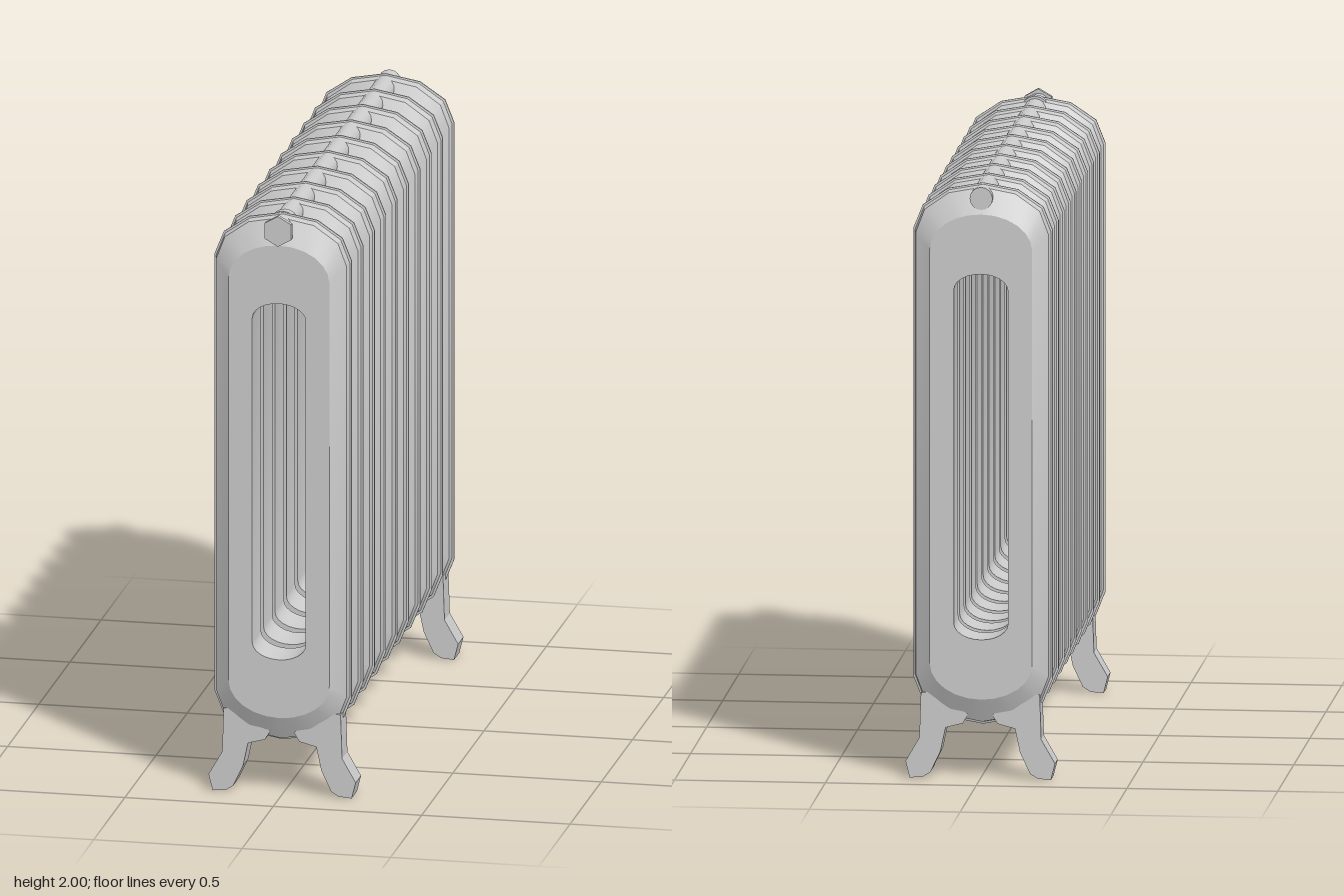
import * as THREE from 'three';
import { toCreasedNormals } from 'three/addons/utils/BufferGeometryUtils.js';

const CX = -0.005; // the columns and pipe sit slightly off the middle
const STEPS = 12; // segments per rounded end

// Closed upright loop with elliptical ends; coarse loops have half the corners.
function loop({ w, top, bottom, ry, z, coarse }) {
  const at = (i, end) => {
    const t = (i / STEPS) * Math.PI;
    const x = Math.cos(t) * w, y = Math.sin(t) * ry;
    return end ? [-x, bottom + ry - y] : [x, top - ry + y];
  };
  const pts = [];
  for (const end of [0, 1]) {
    for (let i = 0; i <= STEPS; i++) {
      let p = at(i, end);
      if (coarse && i % 2) {
        const a = at(i - 1, end), b = at(i + 1, end);
        p = [(a[0] + b[0]) / 2, (a[1] + b[1]) / 2];
      }
      pts.push([p[0], p[1], z]);
    }
  }
  return pts;
}

// One column: loops run through the slot, over the front face, round the rim and back.
function columnGeometry() {
  const slot = { w: 0.09, top: 1.695, bottom: 0.47, ry: 0.055 };
  const face = { w: 0.17, top: 1.895, bottom: 0.27, ry: 0.12 };
  const rim = { w: 0.22, top: 1.98, bottom: 0.19, ry: 0.155, coarse: true };
  const crest = { w: 0.225, top: 1.985, bottom: 0.185, ry: 0.155, coarse: true };
  const fin = { w: 0.231, top: 1.99, bottom: 0.178, ry: 0.155, coarse: true };
  const half = [[slot, 0.07], [face, 0.07], [rim, 0.032], [crest, 0.005], [fin, 0.003]];
  const profile = [
    ...half.map(([s, z]) => ({ ...s, z })),
    ...half.slice().reverse().map(([s, z]) => ({ ...s, z: -z })),
  ];
  const rings = profile.map(loop);
  const n = rings[0].length;
  const index = [];
  for (let i = 0; i < rings.length; i++) {
    const k = (i + 1) % rings.length;
    for (let j = 0; j < n; j++) {
      const m = (j + 1) % n;
      const a = i * n + j, b = k * n + j, c = k * n + m, d = i * n + m;
      index.push(a, b, c, a, c, d);
    }
  }
  const g = new THREE.BufferGeometry();
  g.setAttribute('position', new THREE.Float32BufferAttribute(rings.flat(2), 3));
  g.setIndex(index);
  return toCreasedNormals(g, 0.4);
}

// Splayed foot outline, extruded along z; side mirrors it.
function footGeometry(side) {
  const outline = [
    [0.04, 0.215], [0.058, 0.185], [0.115, 0.17], [0.132, 0.09], [0.165, 0.02], [0.19, 0.004],
    [0.234, 0], [0.248, 0.055], [0.202, 0.135], [0.197, 0.285], [0.15, 0.29],
  ];
  const shape = new THREE.Shape(outline.map(([x, y]) => new THREE.Vector2(x * side, y)));
  return new THREE.ExtrudeGeometry(shape, { depth: 0.086, bevelEnabled: false }).translate(0, 0, -0.043);
}

export function createModel() {
  const model = new THREE.Group();
  model.name = 'radiator';
  const material = new THREE.MeshStandardMaterial({ color: 0xcccccc });
  const add = (name, geometry, x, y, z) => {
    const mesh = new THREE.Mesh(geometry, material);
    mesh.name = name;
    mesh.position.set(x, y, z);
    model.add(mesh);
    return mesh;
  };

  // Row of ten columns
  const count = 10, front = 0.815, back = -0.828;
  const column = columnGeometry();
  for (let i = 0; i < count; i++) {
    add('column' + (i + 1), column, CX, 0, front + ((back - front) * i) / (count - 1));
  }

  // Feet under the two end columns
  for (const [end, z] of [['front', front], ['back', back]]) {
    add(end + 'LeftFoot', footGeometry(1), 0, 0, z);
    add(end + 'RightFoot', footGeometry(-1), 0, 0, z);
  }

  // Pipe through the tops, with collar and hexagonal end nut
  const rod = (r, length, sides) =>
    toCreasedNormals(new THREE.CylinderGeometry(r, r, length, sides).rotateX(Math.PI / 2), 0.6);
  const pipeY = 1.947;
  add('pipe', rod(0.038, 1.785, 16), CX, pipeY, 0);
  add('collar', rod(0.046, 0.03, 16), CX, pipeY, 0.8);
  add('endNut', rod(0.052, 0.018, 6), CX, 1.948, 0.894);

  return model;
}
